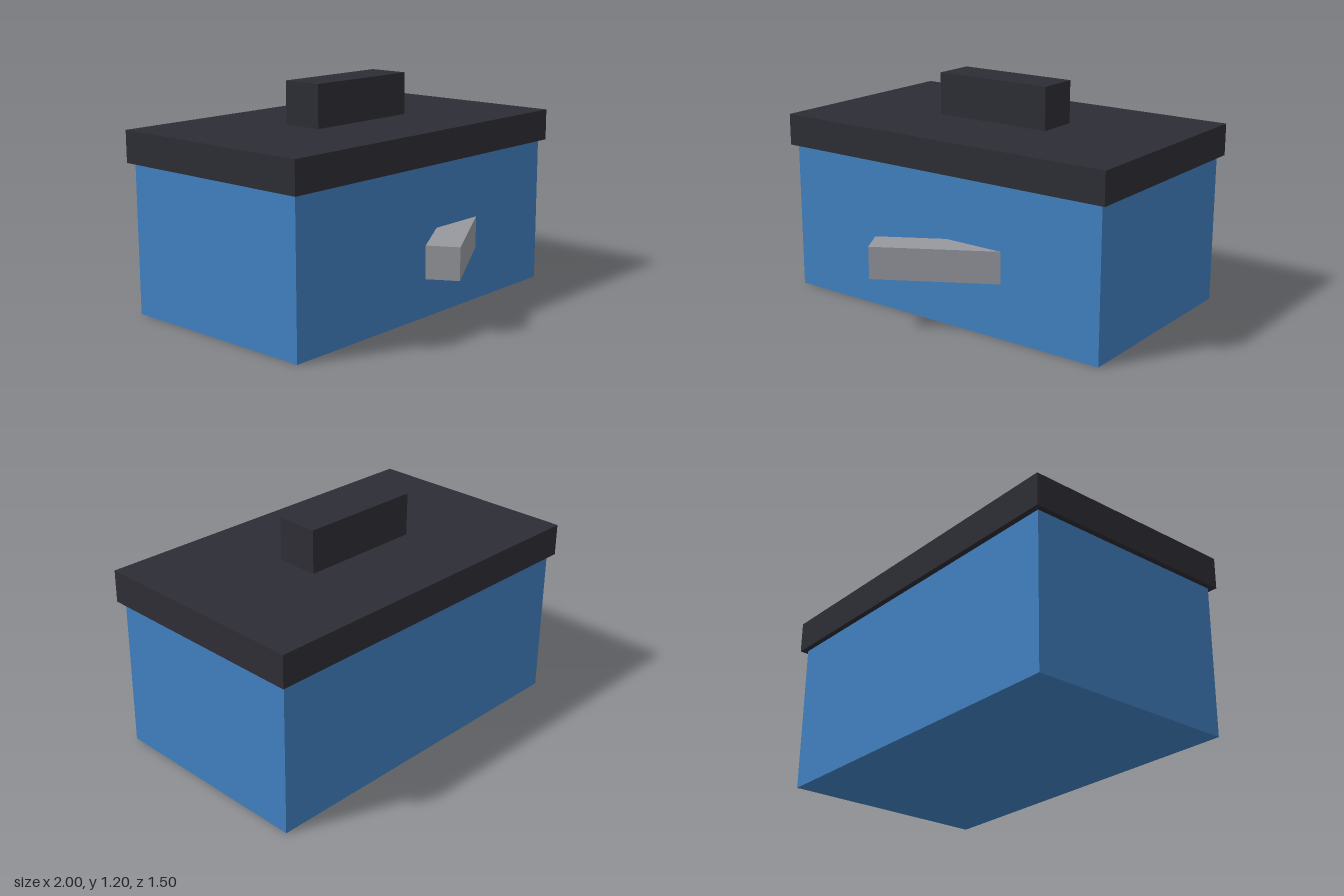
import * as THREE from 'three';

const material = (name, color) => {
  const m = new THREE.MeshStandardMaterial({ color });
  m.name = name;
  return m;
};

export function createModel() {
  const group = new THREE.Group();
  group.name = 'lidded box';
  const blue = material('blue', 0x4080c0);
  const charcoal = material('charcoal', 0x2d2d35);
  const grey = material('grey', 0x97999f);

  const addBox = (name, size, position, mat) => {
    const mesh = new THREE.Mesh(new THREE.BoxGeometry(...size), mat);
    mesh.name = name;
    mesh.position.set(...position);
    group.add(mesh);
    return mesh;
  };

  // Container, overhanging lid and grip block
  addBox('body', [1.94, 0.803, 1.14], [0, 0.4015, -0.15], blue);
  addBox('lid', [2, 0.17, 1.2], [0, 0.888, -0.15], charcoal);
  addBox('lidHandle', [0.68, 0.229, 0.228], [0, 1.0875, -0.151], charcoal);

  // Latch swung out from the front wall, its far end sunk into the body
  const latch = addBox('latch', [0.68, 0.17, 0.17], [0.077, 0.375, 0.506], grey);
  latch.rotation.y = Math.PI / 6;

  return group;
}
